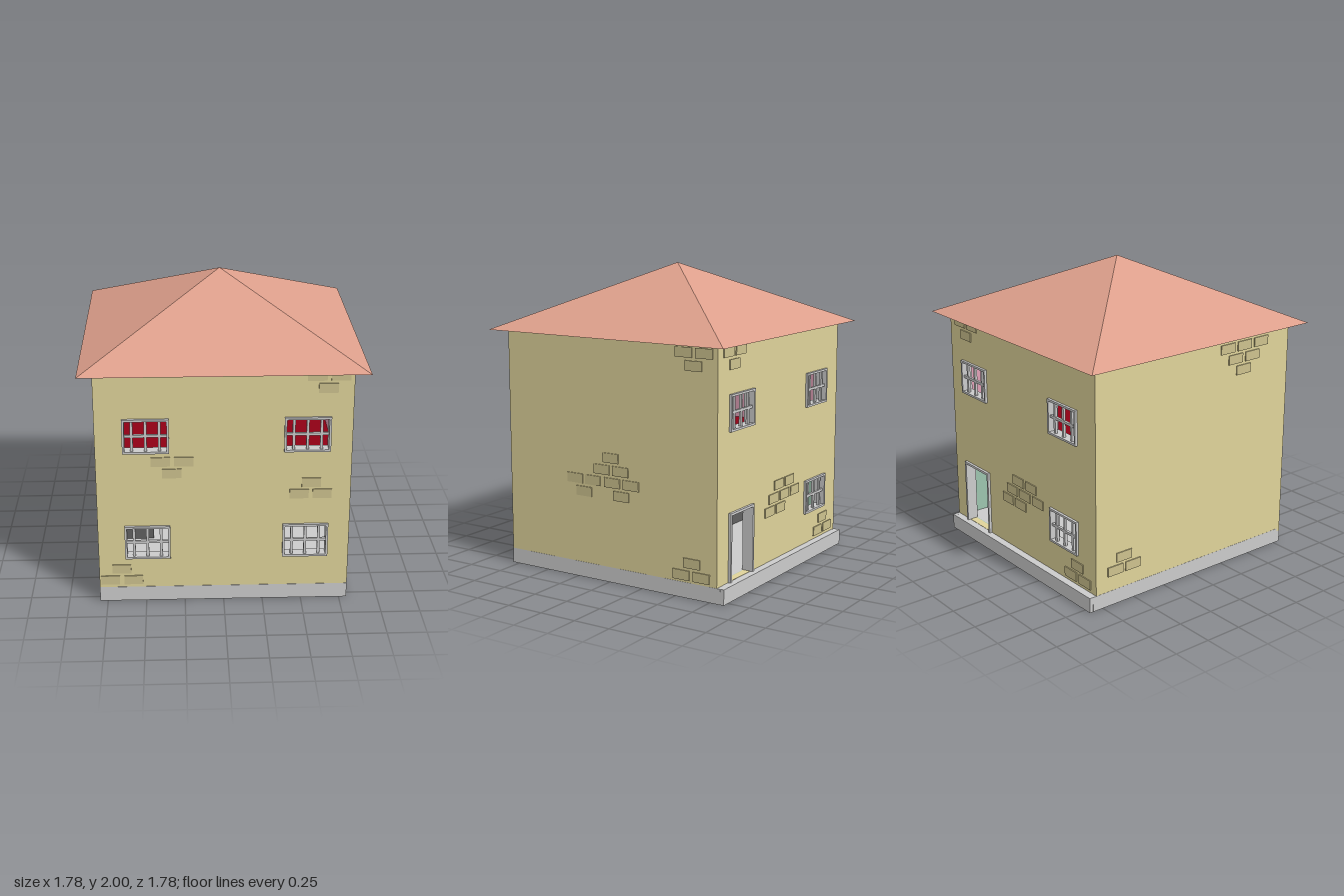
import * as THREE from 'three';

const mat = (color, extra = {}) => new THREE.MeshStandardMaterial({ color, ...extra });
const GREY = mat(0xcccccc), WALL = mat(0xdfd39a), BRICK = mat(0xcdc28e);
const ROOF = mat(0xdd9f8b, { flatShading: true });
const PINK = mat(0xe0a0b6), GREEN = mat(0x9cc4ae), RED = mat(0x8f0014), DARK = mat(0x606060);

const H = 0.8, TOP = 1.58, BASE = 0.1, T = 0.05; // half width, wall top, plinth top, wall thickness
const W = 0.29, WH = 0.23; // window size

function add(parent, name, geometry, material, x = 0, y = 0, z = 0) {
  const mesh = new THREE.Mesh(geometry, material);
  mesh.name = name;
  mesh.position.set(x, y, z);
  parent.add(mesh);
  return mesh;
}

// box given by its minimum and maximum corners
function box(parent, name, material, [x0, y0, z0], [x1, y1, z1]) {
  return add(parent, name, new THREE.BoxGeometry(x1 - x0, y1 - y0, z1 - z0), material,
    (x0 + x1) / 2, (y0 + y1) / 2, (z0 + z1) / 2);
}

function rectPath(path, x0, y0, x1, y1) {
  path.moveTo(x0, y0);
  path.lineTo(x1, y0);
  path.lineTo(x1, y1);
  path.lineTo(x0, y1);
  path.closePath();
  return path;
}

// flat panel with rectangular holes [x0, y0, x1, y1], extruded along z
function panel(x0, y0, x1, y1, holes, depth) {
  const shape = rectPath(new THREE.Shape(), x0, y0, x1, y1);
  for (const h of holes) shape.holes.push(rectPath(new THREE.Path(), ...h));
  return new THREE.ExtrudeGeometry(shape, { depth, bevelEnabled: false });
}

// barred window frame, centred on its own origin
function windowFrame(parent, cx, cy) {
  const g = new THREE.Group();
  g.name = 'window';
  g.position.set(cx, cy, 0);
  const a = W / 2, b = WH / 2, e = 0.014;
  add(g, 'windowFrame', panel(-a, -b, a, b, [[-a + e, -b + e, a - e, b - e]], 0.075), GREY, 0, 0, H - T - 0.008);
  for (const x of [-0.086, 0, 0.086])
    add(g, 'windowBar', new THREE.BoxGeometry(0.017, WH - e, 0.017), GREY, x, 0, H - 0.005);
  add(g, 'windowCrossbar', new THREE.BoxGeometry(W - e, 0.017, 0.017), GREY, 0, 0, H - 0.005);
  parent.add(g);
}

// slightly raised bricks on a wall whose outside faces local +z
function bricks(parent, list) {
  for (const [x, y] of list)
    add(parent, 'brick', new THREE.BoxGeometry(0.12, 0.062, 0.014), BRICK, x, y, H);
}

// wall with openings, its frames and the coloured room linings behind it
function wall(name, angle, windows, door, brickList) {
  const g = new THREE.Group();
  g.name = name;
  g.rotation.y = angle;
  const holes = windows.map(([x, y]) => [x - W / 2 + 0.005, y - WH / 2 + 0.005, x + W / 2 - 0.005, y + WH / 2 - 0.005]);
  if (door) holes.push([door - W / 2 + 0.005, BASE + 0.002, door + W / 2 - 0.005, 0.535]);
  // side walls fit between the front and back walls
  const half = windows.length ? H : H - T;
  add(g, 'outerWall', panel(-half, BASE - 0.02, half, TOP, holes, T), WALL, 0, 0, H - T);
  const inner = H - T;
  for (const [y0, y1, m] of [[BASE, 0.8, GREEN], [0.84, TOP - 0.02, PINK]])
    add(g, 'roomLining', panel(-inner, y0, inner, y1, holes.filter(h => h[1] > y0 && h[3] < y1), 0.004),
      m, 0, 0, inner - 0.004);
  for (const [x, y] of windows) windowFrame(g, x, y);
  if (door) {
    const z0 = H - T - 0.008, z1 = H + 0.018, a = W / 2, e = 0.016;
    for (const s of [-1, 1]) {
      const x = door + s * (a - e / 2);
      box(g, 'doorJamb', GREY, [x - e / 2, BASE, z0], [x + e / 2, 0.54, z1]);
    }
    box(g, 'doorLintel', GREY, [door - a + e, 0.54 - e, z0], [door + a - e, 0.54, z1]);
  }
  bricks(g, brickList);
  return g;
}

export function createModel() {
  const house = new THREE.Group();
  house.name = 'house';

  // outer walls
  house.add(wall('frontWall', 0, [[-0.485, 0.425], [0.52, 0.425], [-0.485, 1.16], [0.52, 1.16]], null, [
    [0.57, 1.545], [0.715, 1.545], [0.64, 1.465],
    [-0.395, 0.985], [-0.25, 0.985], [-0.325, 0.905],
    [0.55, 0.83], [0.475, 0.752], [0.62, 0.752],
    [-0.655, 0.232], [-0.73, 0.152], [-0.58, 0.152]]));
  house.add(wall('backWall', Math.PI, [[0.477, 0.425], [0.477, 1.16], [-0.52, 1.16]], -0.52, [
    [-0.68, 1.535], [-0.535, 1.535], [-0.61, 1.455],
    [-0.03, 0.595], [0.115, 0.595], [-0.1, 0.515], [0.045, 0.515], [0.19, 0.515],
    [-0.15, 0.435], [-0.005, 0.435],
    [0.61, 0.232], [0.54, 0.152], [0.685, 0.152]]));
  house.add(wall('rightWall', Math.PI / 2, [], null, [
    [0.56, 1.53], [0.705, 1.53], [0.63, 1.45],
    [0.015, 0.815], [-0.055, 0.735], [0.09, 0.735],
    [-0.265, 0.655], [-0.125, 0.655], [0.025, 0.655], [0.17, 0.655],
    [-0.195, 0.575], [0.095, 0.575],
    [0.62, 0.225], [0.545, 0.145], [0.69, 0.145]]));
  house.add(wall('leftWall', -Math.PI / 2, [], null, [
    [0.26, 1.5], [0.405, 1.5], [0.55, 1.5], [0.33, 1.42], [0.475, 1.42], [0.4, 1.34],
    [-0.58, 0.315], [-0.65, 0.235], [-0.51, 0.235]]));

  // hollow plinth with a step along the back
  const r = 0.025, back = -0.85;
  box(house, 'plinthFront', GREY, [-H, 0, H - r], [H, BASE, H + 0.002]);
  box(house, 'plinthBack', GREY, [-H, 0, back], [H, BASE, back + r]);
  box(house, 'plinthStep', GREY, [-H + r, BASE - 0.02, back + r], [H - r, BASE, -H + T]);
  for (const s of [-1, 1])
    add(house, 'plinthSide', new THREE.BoxGeometry(r, BASE, H - back - 2 * r), GREY,
      s * (H - r / 2 + 0.001), BASE / 2, (H + back) / 2);

  // floors and ceilings
  const i = H - T;
  box(house, 'groundFloor', GREY, [-i, BASE - 0.02, -i], [i, BASE + 0.002, i]);
  box(house, 'lowerCeiling', GREY, [-i, 0.8, -i], [i, 0.825, i]);
  box(house, 'upperFloor', RED, [-i, 0.825, -i], [i, 0.84, i]);
  box(house, 'upperCeiling', GREY, [-i, TOP - 0.02, -i], [i, TOP, i]);

  // dark cabinet inside
  box(house, 'cabinet', DARK, [-i + 0.005, BASE, -0.15], [-0.46, 0.62, 0.15]);

  // pyramid roof with overhanging eaves
  const roof = new THREE.ConeGeometry(0.89 * Math.SQRT2, 2 - TOP, 4);
  roof.rotateY(Math.PI / 4);
  add(house, 'roof', roof, ROOF, 0, (TOP + 2) / 2, 0);

  return house;
}
